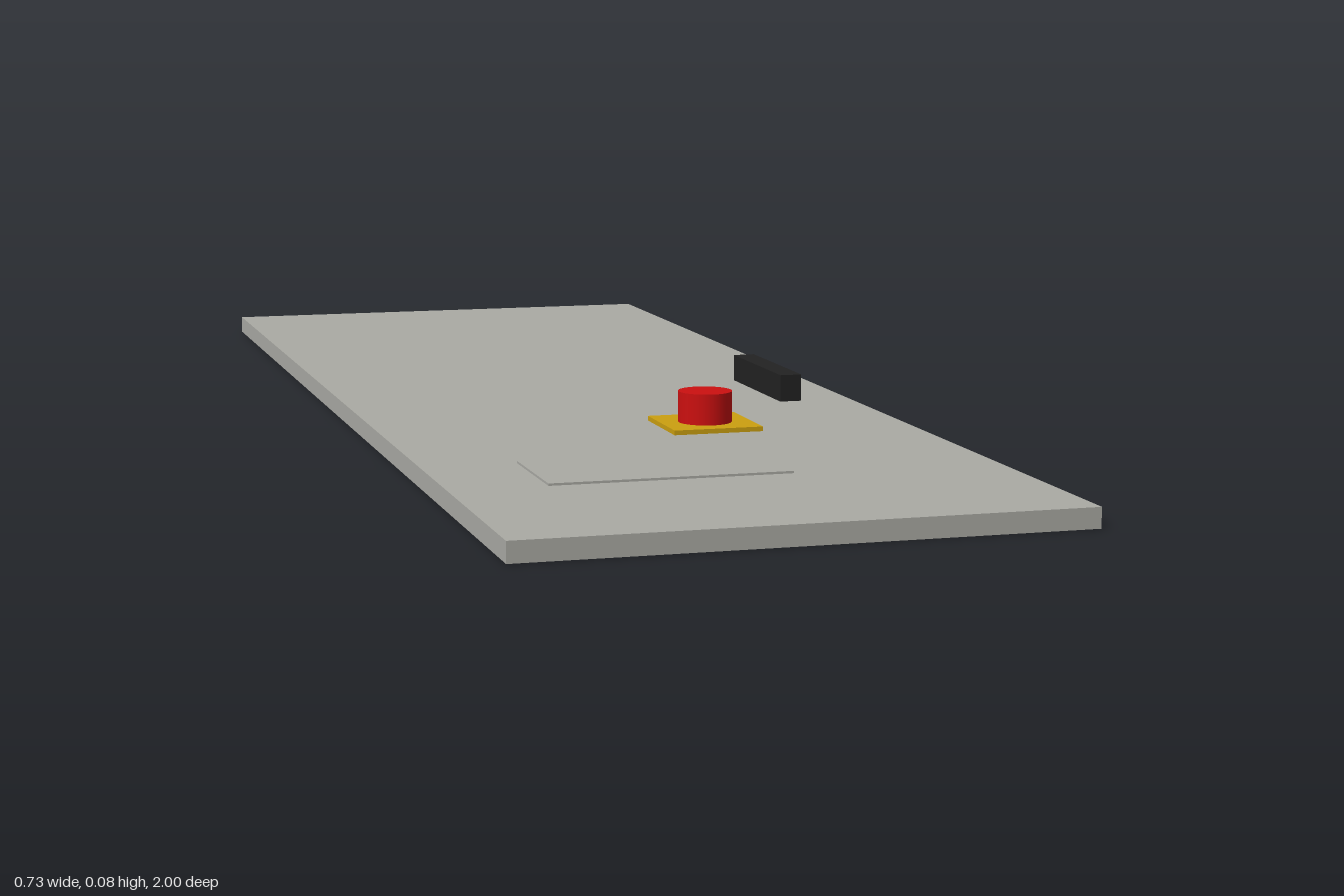
import * as THREE from 'three';

const material = (name, color) => {
  const m = new THREE.MeshStandardMaterial({ color });
  m.name = name;
  return m;
};

export function createModel() {
  const group = new THREE.Group();
  group.name = 'doorPanel';

  const grey = material('panel grey', 0xaaaaa4);
  const yellow = material('warning yellow', 0xcca010);
  const red = material('button red', 0xcc1010);
  const black = material('handle black', 0x222222);

  const TOP = 0.0265; // upper face of the panel

  // Places a geometry by its centre in x and z and its bottom and height in y
  const add = (name, geometry, mat, x, bottom, height, z) => {
    const mesh = new THREE.Mesh(geometry, mat);
    mesh.name = name;
    mesh.position.set(x, bottom + height / 2, z);
    group.add(mesh);
  };
  const box = (name, mat, x, z, width, depth, bottom, top) =>
    add(name, new THREE.BoxGeometry(width, top - bottom, depth), mat, x, bottom, top - bottom, z);

  // Main slab and the shallow raised plate on it
  box('panel', grey, 0, 0, 0.727, 2, 0, TOP);
  box('raisedPlate', grey, -0.076, 0.62, 0.32, 0.16, TOP, 0.0295);

  // Push button on its square base
  box('buttonBase', yellow, 0.085, 0.331, 0.127, 0.127, TOP, 0.033);
  add('button', new THREE.CylinderGeometry(0.0375, 0.0375, 0.043, 32), red, 0.085, 0.033, 0.043, 0.331);

  // Grab handle near the left edge
  box('handle', black, 0.272, 0.053, 0.032, 0.215, TOP, 0.0655);

  return group;
}
